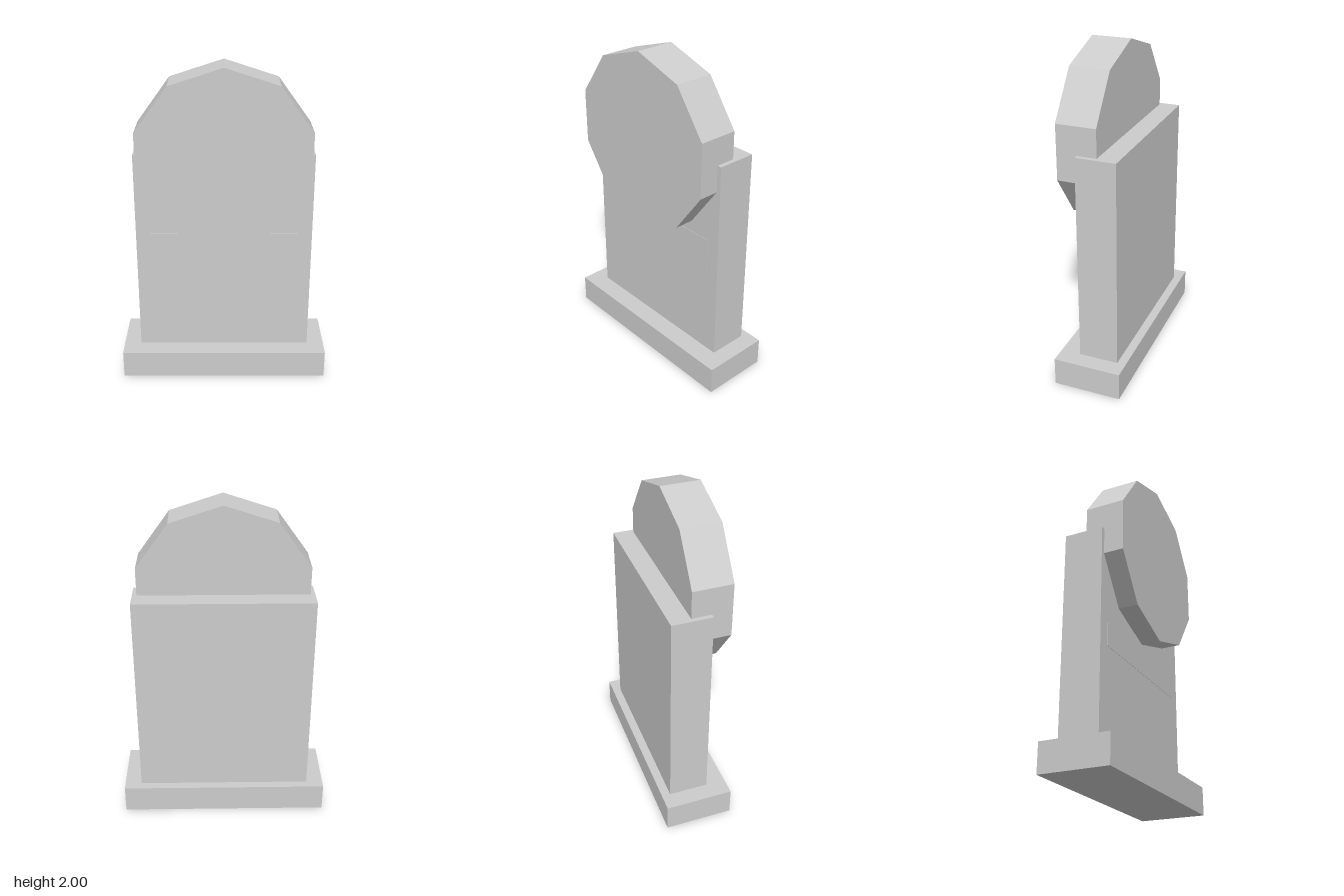
import * as THREE from 'three';

export function createModel() {
  const group = new THREE.Group();
  const stone = new THREE.MeshStandardMaterial({ color: 0xcccccc });
  stone.name = 'light grey stone';
  stone.flatShading = true;

  const add = (name, geometry, x, y, z) => {
    const mesh = new THREE.Mesh(geometry, stone);
    mesh.name = name;
    mesh.position.set(x, y, z);
    group.add(mesh);
  };

  // Plinth and upright slab
  add('base', new THREE.BoxGeometry(1.286, 0.175, 0.418), 0, 0.0875, 0);
  add('slab', new THREE.BoxGeometry(1.076, 1.286, 0.243), 0, 0.818, -0.034);

  // Ten-sided disc set into the upper front of the slab
  const disc = new THREE.CylinderGeometry(0.537, 0.537, 0.241, 10);
  disc.rotateX(Math.PI / 2);
  add('disc', disc, 0, 1.463, 0.0885);

  // Thin plaque on the slab's front, under the disc
  add('plaque', new THREE.BoxGeometry(0.906, 0.224, 0.004), 0, 0.847, 0.0875);

  return group;
}
